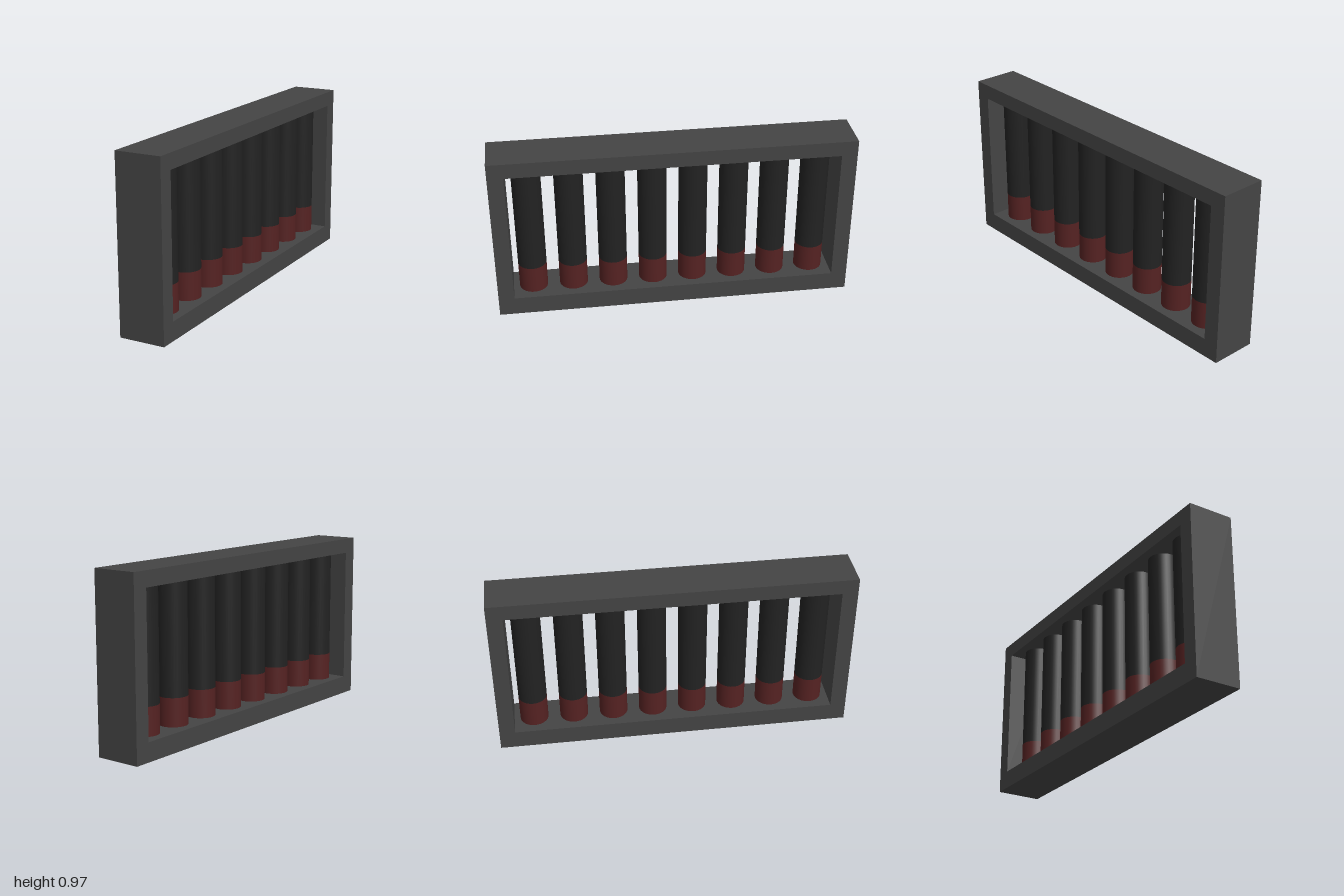
import * as THREE from 'three';

export function createModel() {
  const group = new THREE.Group();
  const frameGrey = new THREE.MeshStandardMaterial({ color: 0x444444 });
  const barBlack = new THREE.MeshStandardMaterial({ color: 0x222222 });
  const baseRed = new THREE.MeshStandardMaterial({ color: 0x552222 });
  frameGrey.name = 'frameGrey';
  barBlack.name = 'barBlack';
  baseRed.name = 'baseRed';

  const depth = 0.26, height = 0.967;
  const sill = 0.105, lintel = 0.882, innerHalf = 0.912;

  // Rectangular frame with one opening, extruded across x
  const outline = new THREE.Shape([
    new THREE.Vector2(-1, 0), new THREE.Vector2(1, 0),
    new THREE.Vector2(1, height), new THREE.Vector2(-1, height),
  ]);
  outline.holes.push(new THREE.Path([
    new THREE.Vector2(-innerHalf, sill), new THREE.Vector2(-innerHalf, lintel),
    new THREE.Vector2(innerHalf, lintel), new THREE.Vector2(innerHalf, sill),
  ]));
  const frameGeometry = new THREE.ExtrudeGeometry(outline, { depth, bevelEnabled: false });
  frameGeometry.translate(0, 0, -depth / 2).rotateY(Math.PI / 2);
  const frame = new THREE.Mesh(frameGeometry, frameGrey);
  frame.name = 'frame';
  group.add(frame);

  // Row of round bars, each with a red foot
  const count = 8, radius = 0.08, footTop = 0.262;
  const segment = (name, y0, y1, material) => {
    const mesh = new THREE.Mesh(new THREE.CylinderGeometry(radius, radius, y1 - y0, 32), material);
    mesh.position.y = (y0 + y1) / 2;
    mesh.name = name;
    return mesh;
  };
  for (let i = 0; i < count; i++) {
    const bar = new THREE.Group();
    bar.name = `bar${i + 1}`;
    bar.add(segment('barFoot', sill, footTop, baseRed));
    bar.add(segment('barShaft', footTop, lintel, barBlack));
    bar.position.z = 0.798 - (i * 1.596) / (count - 1);
    group.add(bar);
  }
  return group;
}
